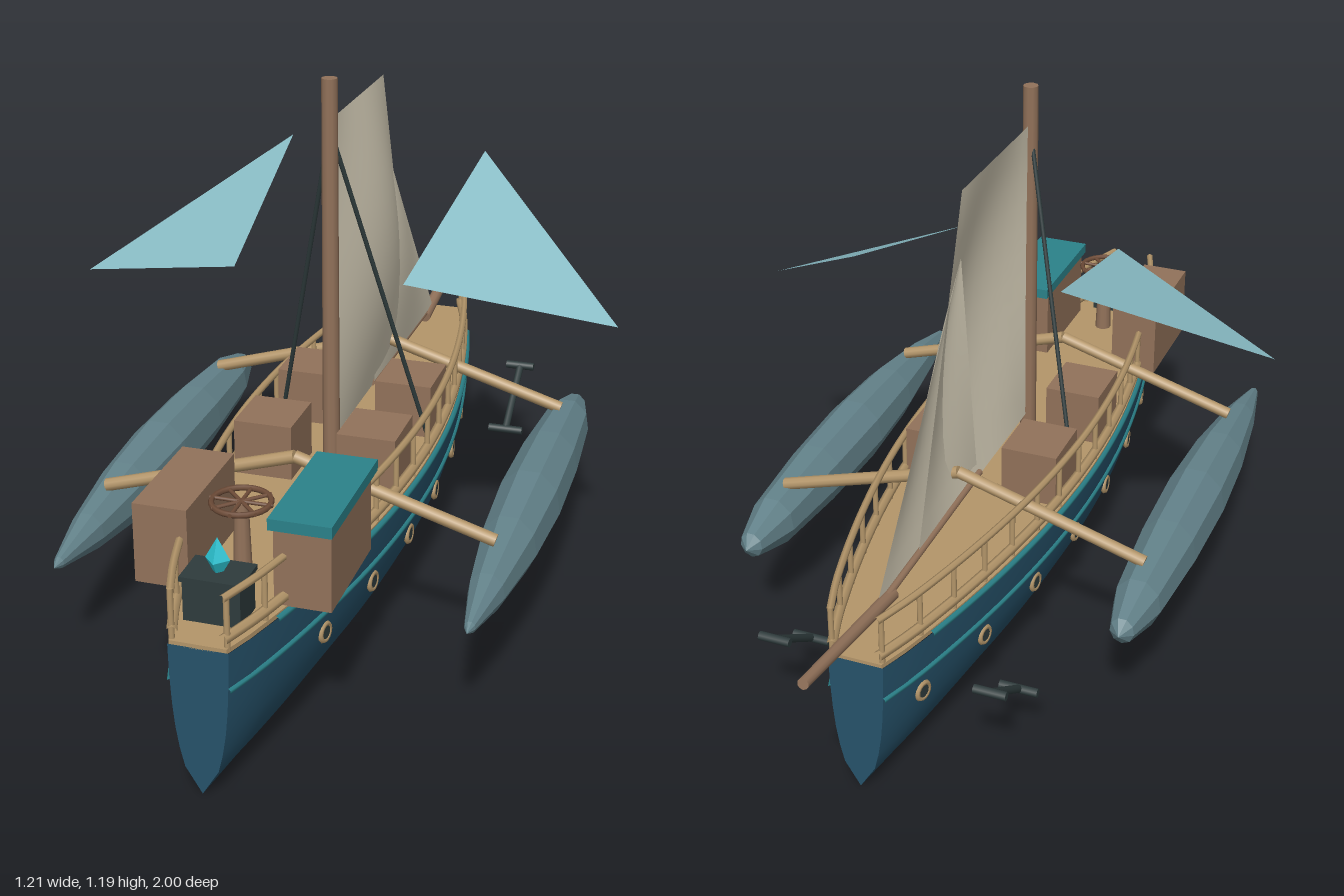
import * as THREE from 'three';
import { toCreasedNormals } from 'three/addons/utils/BufferGeometryUtils.js';

const V = (x, y, z) => new THREE.Vector3(x, y, z);
const mat = (name, color, extra = {}) => {
  const m = new THREE.MeshStandardMaterial({ color, ...extra });
  m.name = name;
  return m;
};

// Half beam of the hull at a given z
const BOW = -0.78, STERN = 1;
const beam = z => 0.06 + 0.147 * Math.pow(Math.max(0, Math.sin(Math.PI * (STERN - z) / (STERN - BOW))), 0.85);
const stations = (n, a = BOW, b = STERN) => Array.from({ length: n + 1 }, (_, i) => a + (b - a) * i / n);

// Hull lofted from scaled copies of one cross-section
function hullGeometry() {
  const half = [[1, 0.318], [0.975, 0.25], [0.92, 0.19], [0.84, 0.14], [0.72, 0.095], [0.56, 0.055]];
  const ring = [...half, [0, 0], ...half.map(([x, y]) => [-x, y]).reverse()];
  const zs = stations(28), n = ring.length, pos = [], idx = [];
  zs.forEach(z => ring.forEach(([x, y]) => pos.push(x * beam(z), y, z)));
  for (let i = 0; i < zs.length - 1; i++) {
    for (let j = 0; j < n - 1; j++) {
      const a = i * n + j, b = a + 1, d = a + n, c = d + 1;
      idx.push(a, d, c, a, c, b);
    }
  }
  const centre = pos.length / 3;
  pos.push(0, 0.318, BOW, 0, 0.318, STERN);
  for (let j = 0; j < n - 1; j++) {
    const e = (zs.length - 1) * n + j;
    idx.push(centre, j, j + 1, centre + 1, e + 1, e);
  }
  const g = new THREE.BufferGeometry();
  g.setAttribute('position', new THREE.Float32BufferAttribute(pos, 3));
  g.setIndex(idx);
  return toCreasedNormals(g, 0.6);
}

// Cloth patch between four corners, bellied towards +x
function sailGeometry(topFore, topAft, footAft, footFore, belly) {
  const g = new THREE.PlaneGeometry(1, 1, 12, 12), p = g.attributes.position;
  for (let i = 0; i < p.count; i++) {
    const u = p.getX(i) + 0.5, v = p.getY(i) + 0.5;
    const q = footFore.clone().lerp(footAft, u).lerp(topFore.clone().lerp(topAft, u), v);
    p.setXYZ(i, q.x + belly * Math.sin(Math.PI * u) * Math.sin(Math.PI * v), q.y, q.z);
  }
  g.computeVertexNormals();
  return g;
}

export function createModel() {
  const group = new THREE.Group();
  group.name = 'sailingShip';
  const navy = mat('navy hull', 0x26526a), teal = mat('teal trim', 0x2b828a);
  const tan = mat('pale wood', 0xb4966a), brown = mat('brown wood', 0x92725a);
  const cloth = mat('sail cloth', 0xd8d0ba, { side: THREE.DoubleSide });
  const slate = mat('slate float', 0x63828a, { flatShading: true });
  const sky = mat('pale blue wing', 0x8cc0c9, { side: THREE.DoubleSide });
  const iron = mat('dark iron', 0x2e3b3c), cyan = mat('cyan crystal', 0x2cc3d2, { flatShading: true });
  const rust = mat('dark wheel wood', 0x6e4c38);

  const add = (name, geometry, material, x = 0, y = 0, z = 0) => {
    const m = new THREE.Mesh(geometry, material);
    m.name = name;
    m.position.set(x, y, z);
    group.add(m);
    return m;
  };
  const box = (name, material, w, h, d, x, y, z) => add(name, new THREE.BoxGeometry(w, h, d), material, x, y, z);
  const rod = (name, material, a, b, r, r2 = r) => {
    const m = add(name, new THREE.CylinderGeometry(r2, r, a.distanceTo(b), 10), material);
    m.position.copy(a).add(b).multiplyScalar(0.5);
    m.quaternion.setFromUnitVectors(V(0, 1, 0), b.clone().sub(a).normalize());
    return m;
  };
  // Tube following the hull side
  const strake = (name, material, s, y, r, scale, inset, z0 = BOW, z1 = STERN) => {
    const pts = stations(20, z0, z1).map(z => V(s * (beam(z) * scale - inset), y, z));
    add(name, new THREE.TubeGeometry(new THREE.CatmullRomCurve3(pts), 48, r, 6), material);
  };

  // Hull and deck
  add('hull', hullGeometry(), navy);
  const outline = new THREE.Shape([
    ...stations(28).map(z => new THREE.Vector2(beam(z) - 0.003, z)),
    ...stations(28).reverse().map(z => new THREE.Vector2(-beam(z) + 0.003, z))
  ]);
  const deck = new THREE.ExtrudeGeometry(outline, { depth: 0.01, bevelEnabled: false });
  add('deck', deck.rotateX(Math.PI / 2), tan, 0, 0.326, 0);

  for (const s of [1, -1]) {
    // Trim lines and railing
    strake('upperTrim', teal, s, 0.317, 0.007, 1, 0, -0.64, 0.86);
    strake('lowerTrim', teal, s, 0.237, 0.006, 0.967, 0);
    strake('lowerRail', tan, s, 0.345, 0.011, 1, 0.01);
    strake('topRail', tan, s, 0.43, 0.008, 1, 0.01);
    for (const z of stations(16, BOW + 0.01, STERN - 0.01)) {
      const x = s * (beam(z) - 0.01);
      rod('railPost', tan, V(x, 0.32, z), V(x, 0.43, z), 0.006);
    }

    // Portholes
    for (let i = 0; i < 7; i++) {
      const z = 0.67 - i * 0.222, x = s * (beam(z) * 0.915 + 0.002);
      const angle = Math.atan2(beam(z - 0.01) - beam(z + 0.01), 0.02);
      const port = new THREE.Group();
      port.name = 'porthole';
      const rim = new THREE.Mesh(new THREE.TorusGeometry(0.018, 0.006, 6, 14), tan);
      const pane = new THREE.Mesh(new THREE.CircleGeometry(0.018, 14), iron);
      rim.name = 'portholeRim';
      pane.name = 'portholePane';
      pane.position.z = 0.004;
      port.add(rim, pane);
      port.position.set(x, 0.186, z);
      port.rotation.y = s * (Math.PI / 2 - angle);
      group.add(port);
    }

    // Outrigger float and its two beams
    const profile = [[0, -0.57], [0.028, -0.545], [0.055, -0.44], [0.07, -0.22], [0.074, 0],
      [0.064, 0.2], [0.04, 0.4], [0.012, 0.54], [0, 0.565]];
    const float = new THREE.LatheGeometry(profile.map(([r, t]) => new THREE.Vector2(r, t)), 9);
    float.rotateX(Math.PI / 2).scale(0.97, 1.13, 1);
    add('outriggerFloat', float, slate, s * 0.435, 0.253, 0.138);
    for (const z of [-0.24, 0.44]) rod('outriggerBeam', tan, V(0, 0.447, z), V(s * 0.43, 0.318, z), 0.014);

    // Free triangular wing sail
    const wing = new THREE.BufferGeometry().setFromPoints(
      [V(s * 0.23, 0.93, -0.245), V(s * 0.185, 0.79, 0.28), V(s * 0.605, 0.675, 0.1)]);
    wing.setIndex(s > 0 ? [0, 1, 2] : [0, 2, 1]);
    wing.computeVertexNormals();
    add('wingSail', wing, sky);

    // Shroud
    rod('shroud', iron, V(s * 0.008, 1.05, 0.185), V(s * 0.175, 0.325, 0.02), 0.005);

    // Anchor with a crossbar at each end
    const low = V(s * 0.243, 0.118, -0.505), high = V(s * 0.243, 0.228, -0.667);
    rod('anchorShank', iron, low, high, 0.009);
    rod('anchorArms', iron, V(s * 0.2, low.y, low.z), V(s * 0.286, low.y, low.z), 0.01);
    rod('anchorStock', iron, V(s * 0.207, high.y, high.z), V(s * 0.278, high.y, high.z), 0.01);

    // Deck crates
    for (const z of [-0.045, 0.247]) box('crate', brown, 0.13, 0.125, 0.14, s * 0.116, 0.387, z);
  }

  // Mast, bowsprit and jib boom
  rod('mast', brown, V(0, 0.32, 0.192), V(0, 1.19, 0.192), 0.019, 0.017);
  rod('bowsprit', brown, V(0, 0.362, -0.6), V(0, 0.423, -0.998), 0.015, 0.012);
  rod('jibBoom', brown, V(0, 0.378, -0.12), V(0, 0.372, -0.66), 0.008);

  // Mainsail and jib
  add('mainsail', sailGeometry(V(0, 1.1, 0.18), V(0, 1.1, -0.205), V(0, 0.37, -0.465), V(0, 0.37, 0.18), 0.052), cloth);
  const peak = V(0.006, 0.945, -0.2);
  add('jib', sailGeometry(peak, peak, V(0.006, 0.37, -0.66), V(0.006, 0.38, -0.12), 0.025), cloth);

  // Stern lockers, one with a roof and a door plate
  box('leftLocker', brown, 0.115, 0.17, 0.26, 0.143, 0.41, 0.69);
  box('lockerRoof', teal, 0.127, 0.024, 0.3, 0.144, 0.504, 0.688);
  box('lockerPlate', iron, 0.065, 0.07, 0.009, 0.143, 0.43, 0.535);
  rod('plateHinge', iron, V(0.143, 0.43, 0.53), V(0.143, 0.43, 0.56), 0.012);
  box('rightLocker', brown, 0.112, 0.17, 0.26, -0.146, 0.41, 0.686);

  // Steering wheel lying flat on its pedestal
  rod('wheelPedestal', brown, V(0, 0.32, 0.757), V(0, 0.5, 0.757), 0.02, 0.014);
  add('wheelRim', new THREE.TorusGeometry(0.058, 0.006, 6, 24).rotateX(Math.PI / 2), rust, 0, 0.5, 0.757);
  for (let i = 0; i < 4; i++) {
    const c = 0.064 * Math.cos(i * Math.PI / 4), d = 0.064 * Math.sin(i * Math.PI / 4);
    rod('wheelSpoke', rust, V(-c, 0.5, 0.757 - d), V(c, 0.5, 0.757 + d), 0.004);
  }

  // Lantern box with a crystal
  box('lanternBox', iron, 0.115, 0.09, 0.08, 0, 0.372, 0.887);
  box('lanternLid', iron, 0.125, 0.01, 0.088, 0, 0.415, 0.887);
  const crystal = add('crystal', new THREE.OctahedronGeometry(0.025), cyan, 0, 0.445, 0.887);
  crystal.scale.y = 1.8;

  return group;
}
